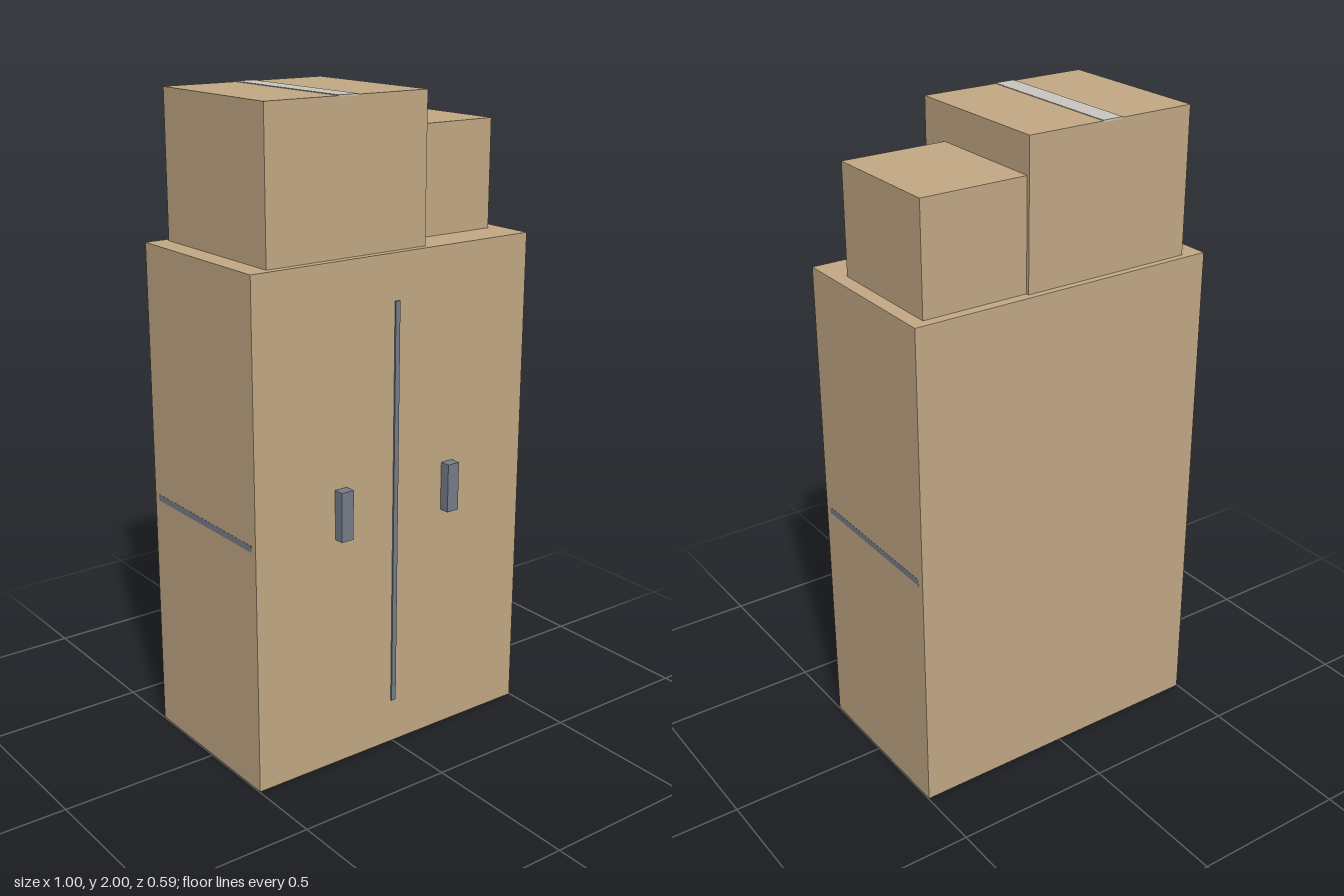
import * as THREE from 'three';

const material = (name, color) => {
  const m = new THREE.MeshStandardMaterial({ color });
  m.name = name;
  return m;
};

export function createModel() {
  const model = new THREE.Group();
  model.name = 'wardrobeWithBoxes';
  const cardboard = material('tan', 0xc3a985);
  const metal = material('slateGrey', 0x767e8b);
  const tape = material('paleGrey', 0xcbc8c0);

  // Box given by its [min, max] extent along each axis
  const addBox = (name, mat, x, y, z) => {
    const size = [x, y, z].map(([a, b]) => b - a);
    const mesh = new THREE.Mesh(new THREE.BoxGeometry(...size), mat);
    mesh.position.set(...[x, y, z].map(([a, b]) => (a + b) / 2));
    mesh.name = name;
    model.add(mesh);
  };

  // Cabinet with the seam between its two doors
  addBox('cabinet', cardboard, [-0.498, 0.498], [0, 1.555], [-0.293, 0.26]);
  addBox('doorSeam', metal, [-0.008, 0.008], [0.143, 1.415], [0.255, 0.265]);

  // Handles and the shelf edges showing on both sides
  for (const [side, s] of [['left', 1], ['right', -1]]) {
    addBox(side + 'Handle', metal, [s * 0.2 - 0.021, s * 0.2 + 0.021], [0.735, 0.888], [0.255, 0.293]);
    addBox(side + 'ShelfEdge', metal, [s * 0.4965 - 0.002, s * 0.4965 + 0.002], [0.757, 0.777], [-0.272, 0.239]);
  }

  // Storage boxes on top, the larger one sealed with tape
  addBox('largeBox', cardboard, [-0.432, 0.12], [1.555, 1.998], [-0.272, 0.237]);
  addBox('packingTape', tape, [-0.19, -0.124], [1.994, 2], [-0.272, 0.237]);
  addBox('smallBox', cardboard, [0.12, 0.454], [1.555, 1.888], [-0.262, 0.136]);

  return model;
}
